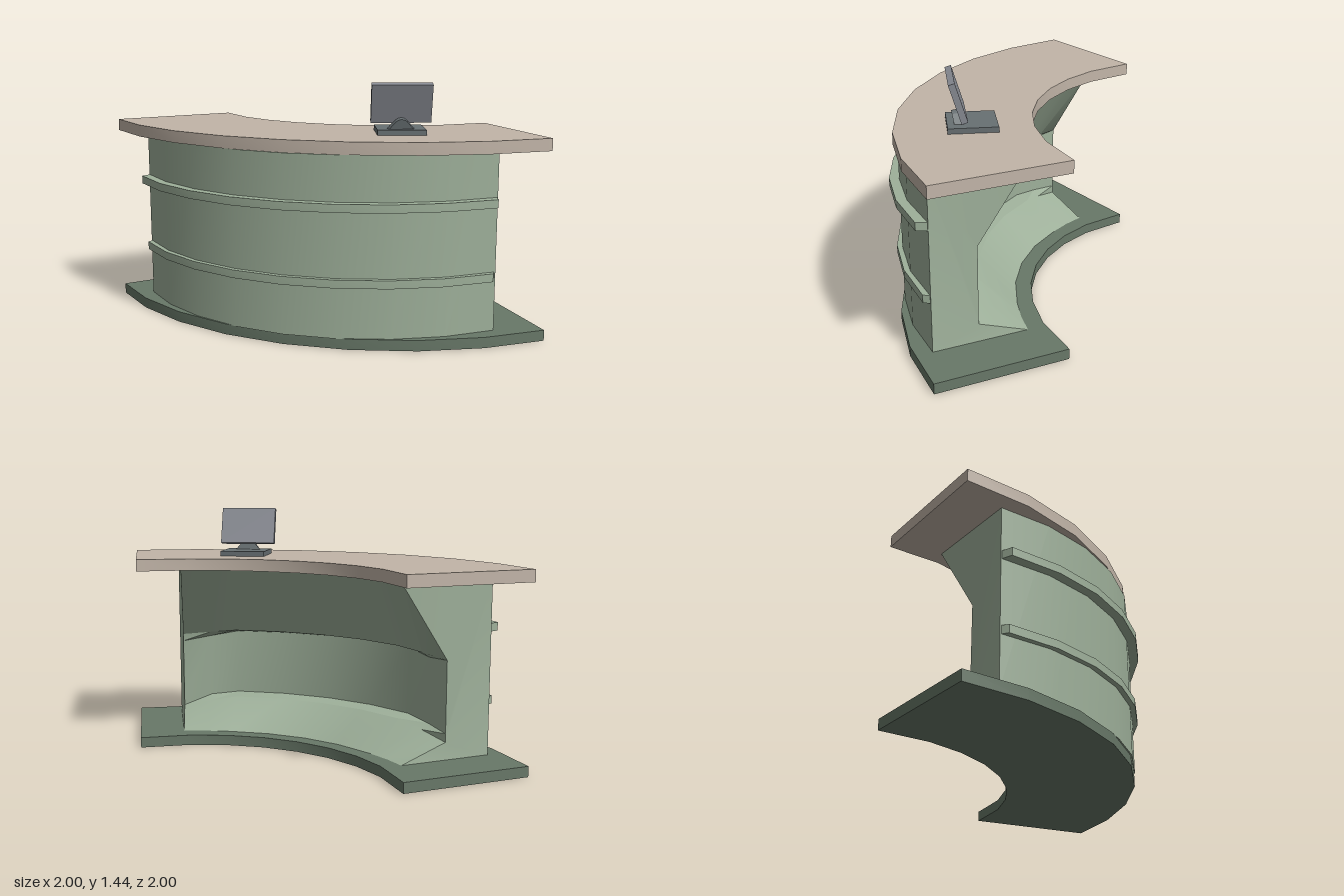
import * as THREE from 'three';
import { toCreasedNormals } from 'three/addons/utils/BufferGeometryUtils.js';

const mat = (name, color) => {
  const m = new THREE.MeshStandardMaterial({ color });
  m.name = name;
  return m;
};

// Point on an arc centred at (c, -c); 0 degrees is the middle of the curved front
function arcPoint(c, r, deg) {
  const a = THREE.MathUtils.degToRad(45 - deg);
  return [c - r * Math.sin(a), -c + r * Math.cos(a)];
}

const mirrored = half => [...half.slice(1).reverse().map(v => -v), ...half];

// Flat curved board between an outer and an inner arc
function curvedBoard(outer, inner, y0, y1) {
  const pts = [...outer, ...[...inner].reverse()].map(([x, z]) => new THREE.Vector2(x, -z));
  const geo = new THREE.ExtrudeGeometry(new THREE.Shape(pts), { depth: y1 - y0, bevelEnabled: false });
  geo.rotateX(-Math.PI / 2).translate(0, y0, 0);
  return toCreasedNormals(geo, 0.4);
}

// Curved body: a profile with a knee recess, swept along the arc
function bodyGeometry() {
  const innerAngles = mirrored([0, 11.25, 22.5, 29, 35.6]);
  // inner profile as [radius, height]
  const middle = [[1.258, 1.08], [1.47, 0.67], [1.57, 0.65], [1.57, 0.25], [1.48, 0.235], [1.258, 0.06]];
  const end = [[1.258, 1.08], [1.56, 0.63], [1.56, 0.585], [1.56, 0.21], [1.56, 0.16], [1.27, 0.06]];
  const n = middle.length + 2;
  const positions = [], index = [];

  innerAngles.forEach((deg, i) => {
    const t = Math.max(0, (Math.abs(deg) - 22.5) / 13.1);
    const [ox, oz] = arcPoint(0.62, 1.5, 46.5 * (i - 4) / 4);
    positions.push(ox, 0.06, oz, ox, 1.08, oz);
    middle.forEach(([r, y], k) => {
      const [x, z] = arcPoint(0.93, THREE.MathUtils.lerp(r, end[k][0], t), deg);
      positions.push(x, THREE.MathUtils.lerp(y, end[k][1], t), z);
    });
  });

  const last = innerAngles.length - 1;
  for (let i = 0; i < last; i++) {
    for (let j = 0; j < n; j++) {
      const k = (j + 1) % n;
      const a = i * n + j, b = a + n, c = i * n + k, d = c + n;
      index.push(a, b, d, a, d, c);
    }
  }

  // end faces
  const outline = [[-1.83, 0.06], [-1.83, 1.08], ...end.map(([r, y]) => [-r, y])]
    .map(p => new THREE.Vector2(...p)).reverse();
  for (const [a, b, c] of THREE.ShapeUtils.triangulateShape(outline, [])) {
    const [p, q, s] = [a, b, c].map(v => n - 1 - v);
    index.push(last * n + p, last * n + q, last * n + s, p, s, q);
  }

  const geo = new THREE.BufferGeometry();
  geo.setAttribute('position', new THREE.Float32BufferAttribute(positions, 3));
  geo.setIndex(index);
  return toCreasedNormals(geo, 0.45);
}

export function createModel() {
  const group = new THREE.Group();
  const beige = mat('beige top', 0xc2b5a8);
  const green = mat('sage green', 0x9eb09a);
  const darkGreen = mat('dark green', 0x687868);
  const grey = mat('screen grey', 0x888b93);
  const darkGrey = mat('stand grey', 0x687073);

  const add = (parent, name, geo, material) => {
    const mesh = new THREE.Mesh(geo, material);
    mesh.name = name;
    parent.add(mesh);
    return mesh;
  };

  // Counter top and matching floor plinth
  const slabOuter = mirrored([0, 11.2, 22.4, 33.5, 44.7]).map(d => arcPoint(0.93, 1.93, d));
  const slabInner = mirrored([0, 11.2, 22.4, 33.7, 48.4]).map(d => arcPoint(0.93, 1.167, d));
  add(group, 'counterTop', curvedBoard(slabOuter, slabInner, 1.08, 1.15), beige);
  add(group, 'plinth', curvedBoard(slabOuter, slabInner, 0, 0.062), darkGreen);

  add(group, 'deskBody', bodyGeometry(), green);

  // Trim rails around the front
  const steps = [0, 1, 2, 3, 4];
  for (const [name, y, r] of [['upperRail', 0.777, 1.555], ['lowerRail', 0.355, 1.53]]) {
    const outer = mirrored(steps.map(i => i * 11.3)).map(d => arcPoint(0.62, r, d));
    const inner = mirrored(steps.map(i => i * 11.62)).map(d => arcPoint(0.62, 1.49, d));
    add(group, name, curvedBoard(outer, inner, y, y + 0.047), green);
  }

  // Monitor, turned towards the inside of the desk
  const monitor = new THREE.Group();
  monitor.name = 'monitor';
  monitor.position.set(0.29, 1.15, 0.43);
  monitor.rotation.y = -0.41;
  group.add(monitor);

  add(monitor, 'monitorBase', new THREE.BoxGeometry(0.273, 0.03, 0.273), darkGrey).position.y = 0.015;

  const screen = add(monitor, 'screen', new THREE.BoxGeometry(0.34, 0.225, 0.036), grey);
  screen.position.set(0, 0.175, 0.08);
  screen.rotation.x = 0.3;

  // Hump-shaped bracket behind the screen
  const hump = new THREE.Shape();
  hump.moveTo(-0.085, 0);
  hump.lineTo(0.085, 0);
  hump.lineTo(0.03, 0.065);
  hump.quadraticCurveTo(0, 0.088, -0.03, 0.065);
  hump.closePath();
  const bracket = add(monitor, 'screenBracket',
    new THREE.ExtrudeGeometry(hump, { depth: 0.05, bevelEnabled: false, curveSegments: 5 }), darkGrey);
  bracket.position.set(0, 0.02, 0.045);
  bracket.rotation.x = 0.2;

  return group;
}
